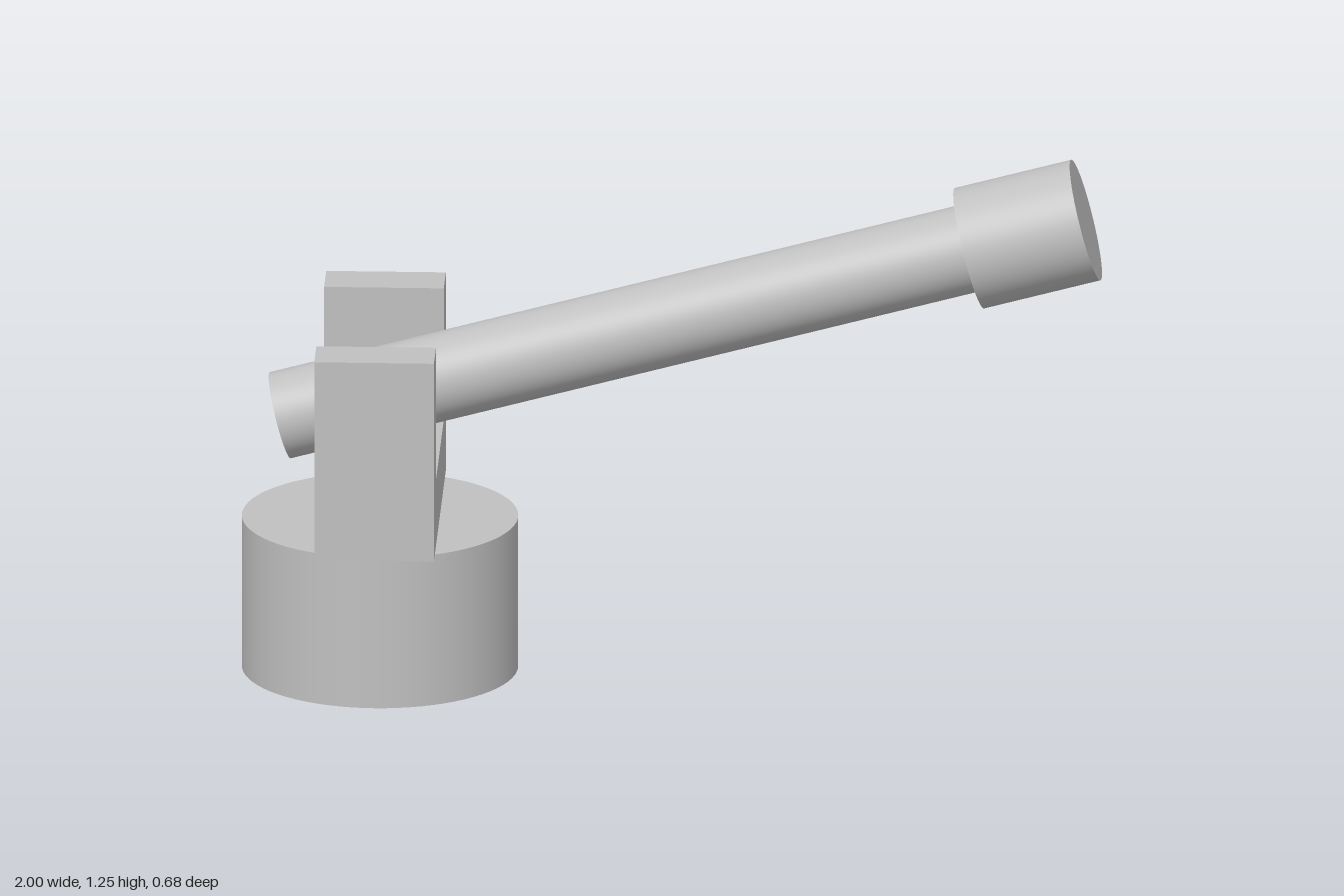
import * as THREE from 'three';

export function createModel() {
  const group = new THREE.Group();
  const grey = new THREE.MeshStandardMaterial({ color: 0xc0c0c0 });
  grey.name = 'grey';

  const add = (name, geometry, parent = group) => {
    const mesh = new THREE.Mesh(geometry, grey);
    mesh.name = name;
    parent.add(mesh);
    return mesh;
  };

  const pivotX = -0.679;
  const baseTop = 0.367;

  // Round base
  add('base', new THREE.CylinderGeometry(0.321, 0.321, baseTop, 72))
    .position.set(pivotX, baseTop / 2, 0);

  // U-shaped cradle, its profile facing along x
  const outer = 0.342, inner = 0.222, floor = 0.161, top = 0.483, depth = 0.278;
  const profile = new THREE.Shape([
    [-outer, 0], [outer, 0], [outer, top], [inner, top],
    [inner, floor], [-inner, floor], [-inner, top], [-outer, top],
  ].map(([x, y]) => new THREE.Vector2(x, y)));
  const cradle = new THREE.ExtrudeGeometry(profile, { depth, bevelEnabled: false });
  cradle.translate(0, 0, -depth / 2).rotateY(Math.PI / 2);
  add('cradle', cradle).position.set(pivotX, baseTop, 0);

  // Barrel tilted up by 15 degrees, built along its own x axis from the rear end
  const barrel = new THREE.Group();
  barrel.name = 'barrel';
  barrel.position.set(-0.911, 0.608, 0);
  barrel.rotation.z = THREE.MathUtils.degToRad(15);
  group.add(barrel);

  const rod = (name, radius, from, to) => {
    const geometry = new THREE.CylinderGeometry(radius, radius, to - from, 64);
    geometry.rotateZ(-Math.PI / 2).translate((from + to) / 2, 0, 0);
    add(name, geometry, barrel);
  };
  rod('tube', 0.103, 0, 1.7);
  rod('muzzle', 0.144, 1.658, 1.938);

  return group;
}
